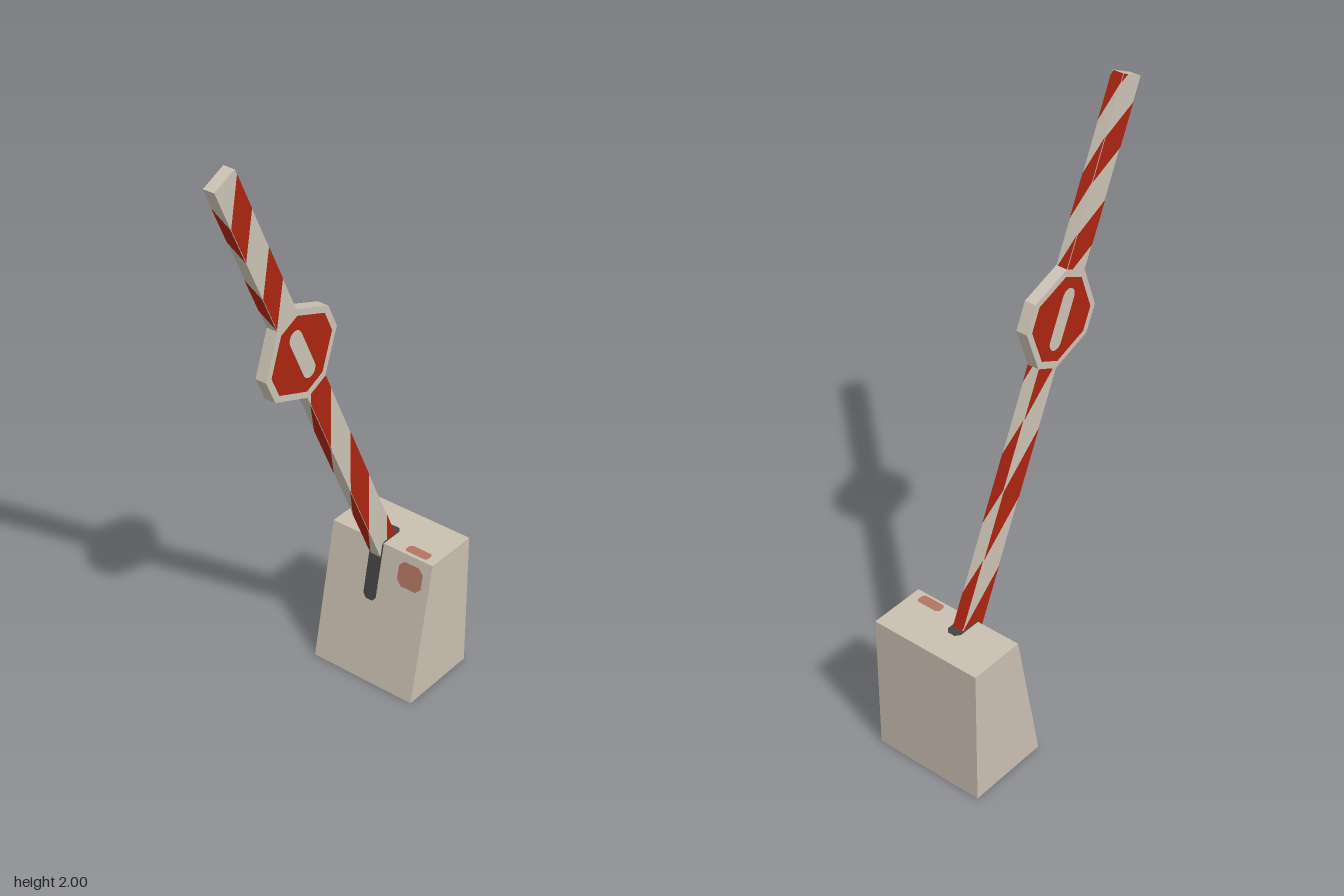
import * as THREE from 'three';

const mat = (name, color, side = THREE.FrontSide) => {
  const m = new THREE.MeshStandardMaterial({ color, side });
  m.name = name;
  return m;
};

const polygon = pts => new THREE.Shape(pts.map(p => new THREE.Vector2(p[0], p[1])));

// Cut a polygon of [w, s] points to one side of s = limit
function clip(pts, limit, sign) {
  const out = [];
  pts.forEach((a, i) => {
    const b = pts[(i + 1) % pts.length];
    const da = (a[1] - limit) * sign, db = (b[1] - limit) * sign;
    if (da >= 0) out.push(a);
    if (da * db < 0) {
      const t = da / (da - db);
      out.push([a[0] + (b[0] - a[0]) * t, limit]);
    }
  });
  return out;
}

// Slanted bands across a face, repeated along s and trimmed to [lo, hi]
function bands(width, [s0, s1], period, length, lo, hi) {
  const shapes = [];
  for (let k = -8; k <= 8; k++) {
    const d = k * period, h = width / 2;
    let p = [[h, s0 + d], [h, s0 + d + length], [-h, s1 + d + length], [-h, s1 + d]];
    p = clip(clip(p, lo, 1), hi, -1);
    if (p.length > 2) shapes.push(polygon(p));
  }
  return shapes;
}

// Rectangle with chamfered corners
function blot(x0, x1, y0, y1, c) {
  return polygon([[x0 + c, y0], [x1 - c, y0], [x1, y0 + c], [x1, y1 - c],
    [x1 - c, y1], [x0 + c, y1], [x0, y1 - c], [x0, y0 + c]]);
}

export function createModel() {
  const model = new THREE.Group();
  model.name = 'barrier';
  const concrete = mat('concrete', 0xcabfb1, THREE.DoubleSide);
  const cream = mat('cream', 0xcbc2b4);
  const red = mat('red', 0xaa2511);
  const dark = mat('dark slot', 0x454444);
  const rust = mat('faded red', 0xb07563);

  const add = (parent, name, geometry, material) => {
    const m = new THREE.Mesh(geometry, material);
    m.name = name;
    parent.add(m);
    return m;
  };

  // Hollow base: box with a sloping front and no floor
  const H = 0.48, topFront = -0.265, bottomFront = -0.17;
  let base = new THREE.BoxGeometry(0.386, H, 0.19);
  base.translate(-0.002, H / 2, -0.36);
  const pos = base.attributes.position;
  for (let i = 0; i < pos.count; i++) {
    const front = pos.getZ(i) > -0.36;
    pos.setZ(i, !front ? -0.455 : pos.getY(i) > 0.1 ? topFront : bottomFront);
  }
  const idx = Array.from(base.index.array);
  idx.splice(18, 6);
  base.setIndex(idx);
  base.clearGroups();
  base.computeVertexNormals();
  add(model, 'base', base, concrete);

  // Marks on the sloping front and on the top, meeting at the front edge
  const slope = new THREE.Group(), top = new THREE.Group();
  slope.name = 'frontMarks';
  top.name = 'topMarks';
  slope.rotation.x = -Math.atan((bottomFront - topFront) / H);
  top.rotation.x = -Math.PI / 2;
  for (const g of [slope, top]) {
    g.position.set(0, H, topFront);
    model.add(g);
  }
  const mark = (parent, name, shape, material) => {
    add(parent, name, new THREE.ShapeGeometry(shape), material).position.z = 0.002;
  };
  const slot = end => {
    const c = Math.sign(end) * 0.015;
    return polygon([[-0.044, 0], [0.005, 0], [0.005, end - c], [-0.007, end],
      [-0.032, end], [-0.044, end - c]]);
  };
  mark(slope, 'frontSlot', slot(-0.207), dark);
  mark(top, 'topSlot', slot(0.093), dark);
  mark(slope, 'frontStain', blot(0.072, 0.163, -0.113, -0.027, 0.018), rust);
  mark(top, 'topStain', blot(0.075, 0.16, 0.01, 0.045, 0.008), rust);

  // Leaning arm: local y runs along it, local z points to its front
  const arm = new THREE.Group();
  arm.name = 'arm';
  arm.position.set(-0.019, 1.34, 0.118);
  arm.rotation.x = 0.433;
  model.add(arm);
  const W = 0.038, D = 0.087, lowEnd = -1.02, highEnd = 0.708, R = 0.148;
  for (const [name, lo, hi] of [['lowerBeam', lowEnd, -R], ['upperBeam', R, highEnd]]) {
    const g = new THREE.BoxGeometry(W, hi - lo, D);
    g.translate(0, (lo + hi) / 2, 0);
    add(arm, name, g, cream);
  }

  // Stripes: band start heights on the two edges of each face
  const faces = [
    { name: 'left', turn: Math.PI / 2, width: D, low: [-0.638, -0.832], high: [0.562, 0.44] },
    { name: 'front', turn: 0, width: W, low: [-0.832, -0.98], high: [0.44, 0.505] },
    { name: 'right', turn: -Math.PI / 2, width: D, low: [-0.545, -0.74], high: [0.505, 0.4] },
    { name: 'back', turn: Math.PI, width: W, low: [-0.518, -0.638], high: [0.4, 0.283] },
  ];
  for (const f of faces) {
    const shapes = [
      ...bands(f.width, f.low, 0.436, 0.216, lowEnd, -R),
      ...bands(f.width, f.high, 0.282, 0.13, R, highEnd),
    ];
    const g = new THREE.ShapeGeometry(shapes);
    g.translate(0, 0, (f.width === D ? W : D) / 2 + 0.0015);
    g.rotateY(f.turn);
    add(arm, f.name + 'Stripes', g, red);
  }

  // Eight-sided sign with a red panel and a bar on both sides
  const plate = (name, shape, depth, material) => {
    const g = new THREE.ExtrudeGeometry(shape, { depth, bevelEnabled: false, curveSegments: 6 });
    g.translate(0, 0, -depth / 2);
    g.rotateY(Math.PI / 2);
    add(arm, name, g, material);
  };
  const octagon = r => blot(-r, r, -r, r, r * 0.7);
  plate('signBody', octagon(R), W, cream);
  plate('signPanel', octagon(R * 0.85), W + 0.003, red);
  const bar = new THREE.Shape();
  bar.absarc(0, 0.068, 0.026, 0, Math.PI);
  bar.absarc(0, -0.068, 0.026, Math.PI, Math.PI * 2);
  plate('signBar', bar, W + 0.006, cream);

  return model;
}
